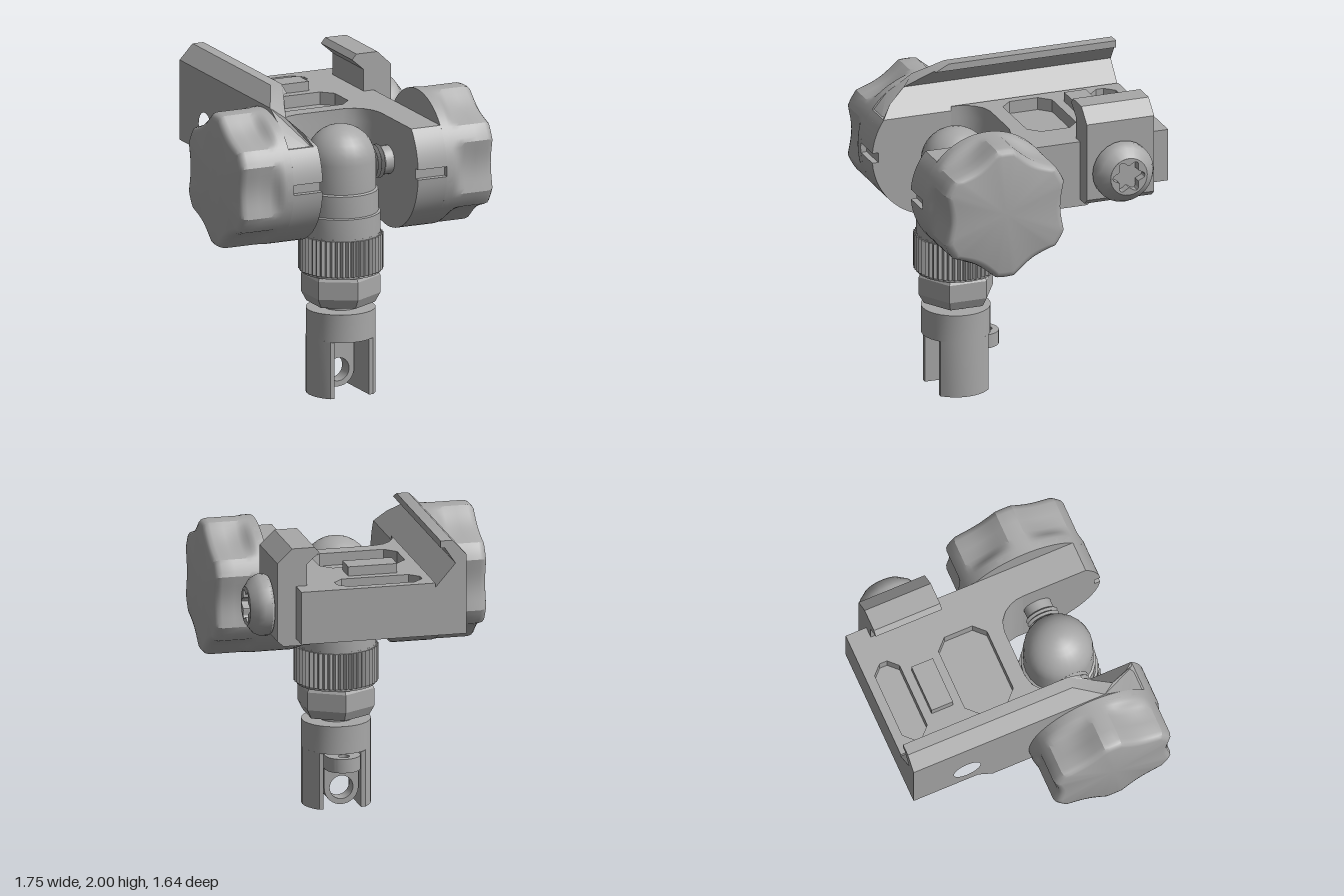
import * as THREE from 'three';
import { toCreasedNormals } from 'three/addons/utils/BufferGeometryUtils.js';

const CY = 1.455, CZ = 0.395, R = 0.43; // barrel axis and radius
const BACK = -0.82;
const metal = new THREE.MeshStandardMaterial({ color: 0xa8a8a8 });
metal.name = 'grey metal';

const shapeOf = pts => new THREE.Shape(pts.map(p => new THREE.Vector2(p[0], p[1])));
const hole = (x, y, r) => new THREE.Path().absarc(x, y, r, 0, Math.PI * 2, true);
const extrude = (shape, depth) => new THREE.ExtrudeGeometry(shape, { depth, bevelEnabled: false, curveSegments: 16 });
// shape drawn in (-z, y), swept along x
const alongX = (shape, x0, x1) => extrude(shape, x1 - x0).rotateY(Math.PI / 2).translate(x0, 0, 0);
// shape drawn in (x, -z), swept along y
const alongY = (shape, y0, y1) => extrude(shape, y1 - y0).rotateX(-Math.PI / 2).translate(0, y0, 0);
const lathe = (pts, seg) => new THREE.LatheGeometry(pts.map(p => new THREE.Vector2(p[0], p[1])), seg);

// side outline of an arm: flat tail running into the round barrel, with a key slot at the front
function armShape(top) {
  const pts = [[BACK, top], [BACK, 1.39], [-0.38, 1.39], [-0.28, 1.3]];
  const arc = (a0, a1, n) => {
    for (let i = 0; i <= n; i++) {
      const a = a0 + (a1 - a0) * i / n;
      pts.push([CZ + R * Math.cos(a), CY + R * Math.sin(a)]);
    }
  };
  arc(Math.PI + 0.369, Math.PI * 2 - 0.075, 28);
  pts.push([0.785, CY - 0.032], [0.785, CY + 0.032]);
  arc(0.075, Math.asin((top - CY) / R), 8);
  return shapeOf(pts.map(p => [-p[0], p[1]]));
}

// front edge of the web between the arms
const stations = [-0.33, -0.325, -0.31, -0.28, -0.23, -0.16, 0.16, 0.23, 0.28, 0.31, 0.325, 0.33];
const webFront = x => {
  const u = Math.min(1, Math.max(0, (Math.abs(x) - 0.16) / 0.17));
  return 0.1 + 0.2 * (1 - Math.sqrt(1 - u * u));
};

// web: side sections lofted across x
function webGeometry() {
  const pos = [], idx = [], zJ = -0.006, k = 8;
  let n = 0;
  stations.forEach(x => {
    const f = webFront(x), ring = [[BACK, 1.65], [f, 1.65]];
    for (let i = k; i >= 0; i--) {
      const z = zJ + (f - zJ) * i / k;
      ring.push([z, CY - Math.sqrt(R * R - (z - CZ) ** 2)]);
    }
    ring.push([-0.28, 1.3], [-0.38, 1.39], [BACK, 1.39]);
    n = ring.length;
    ring.forEach(p => pos.push(x, p[1], p[0]));
  });
  for (let s = 0; s < stations.length - 1; s++)
    for (let i = 0; i < n; i++) {
      const j = (i + 1) % n, a = s * n + i, b = s * n + j;
      idx.push(a, b, a + n, b, b + n, a + n);
    }
  const g = new THREE.BufferGeometry();
  g.setAttribute('position', new THREE.Float32BufferAttribute(pos, 3));
  g.setIndex(idx);
  return g;
}

// top plate with two eight-sided pockets
function plateGeometry() {
  const s = shapeOf([[-0.33, -BACK], ...stations.map(x => [x, -webFront(x)]), [0.33, -BACK]]);
  const pocket = (z0, z1, c) => {
    const x = 0.275;
    s.holes.push(new THREE.Path([[-x, c + z0], [-x + c, z0], [x - c, z0], [x, z0 + c],
      [x, z1 - c], [x - c, z1], [-x + c, z1], [-x, z1 - c], [-x, z0 + c]]
      .map((p, i) => new THREE.Vector2(p[0], -p[1])).slice(0, 8)));
  };
  pocket(-0.76, -0.59, 0.06);
  pocket(-0.33, 0, 0.07);
  return alongY(s, 1.65, 1.73);
}

// hooked rail: its front end follows a slope and then the barrel
function railGeometry() {
  const g = extrude(shapeOf([[-0.53, 1.65], [-0.33, 1.65], [-0.33, 1.7], [-0.395, 1.775], [-0.46, 1.85],
    [-0.39, 1.955], [-0.365, 1.955], [-0.365, 2], [-0.44, 2], [-0.53, 1.905], [-0.53, 1.8]]), 1);
  const p = g.attributes.position;
  for (let i = 0; i < p.count; i++) {
    const y = p.getY(i), slope = 0.3 + (2 - y) * 1.92, d = R * R - (y - CY) ** 2;
    p.setZ(i, p.getZ(i) < 0.5 ? BACK : d > 0 ? Math.min(slope, CZ + Math.sqrt(d)) : slope);
  }
  return g;
}

// scalloped hand knob, axis along y before turning
function knobGeometry() {
  const g = lathe([[R, 0.53], [R, 0.58], [R, 0.6], [R, 0.62], [R, 0.64], [R, 0.67], [R, 0.75], [R, 0.83],
    [0.422, 0.855], [0.405, 0.87], [0.385, 0.875], [0, 0.875]], 96);
  const p = g.attributes.position;
  for (let i = 0; i < p.count; i++) {
    const x = p.getX(i), z = p.getZ(i), r = Math.hypot(x, z);
    if (r < 0.3) continue;
    const step = Math.PI / 3, a = Math.atan2(x, z);
    const d = (a - Math.round(a / step) * step) / 0.39;
    const cut = 0.055 * Math.max(0, 1 - d * d) * THREE.MathUtils.smoothstep(p.getY(i), 0.58, 0.67);
    p.setX(i, x * (r - cut) / r);
    p.setZ(i, z * (r - cut) / r);
  }
  return g;
}

export function createModel() {
  const root = new THREE.Group();
  const add = (name, geo, crease = 0.55) => {
    const m = new THREE.Mesh(toCreasedNormals(geo, crease), metal);
    m.name = name;
    root.add(m);
    return m;
  };

  // clamp body
  add('web', webGeometry());
  add('topPlate', plateGeometry());
  add('crossKey', new THREE.BoxGeometry(0.315, 0.08, 0.145).translate(0, 1.75, -0.4625));
  add('rightArm', alongX(armShape(1.73), 0.33, 0.53));
  const left = armShape(1.7);
  left.holes.push(hole(0.455, 1.56, 0.09));
  add('leftArm', alongX(left, -0.53, -0.33));
  add('hookedRail', railGeometry());

  // sliding jaw and its screw
  add('jaw', extrude(shapeOf([[0.44, 1.345], [0.61, 1.345], [0.65, 1.38], [0.65, 1.885], [0.555, 1.975],
    [0.41, 1.975], [0.38, 1.94], [0.46, 1.87], [0.46, 1.73], [0.44, 1.72]]), 0.45).translate(0, 0, -0.68));
  const toScrew = g => g.translate(0, 1.56, -0.455);
  add('screwHead', toScrew(lathe([[0.15, 0.645], [0.185, 0.655], [0.195, 0.67], [0.195, 0.715],
    [0.175, 0.755], [0.12, 0.797]], 24).rotateZ(-Math.PI / 2)));
  const face = new THREE.Shape().absarc(0, 0, 0.122, 0, Math.PI * 2, false);
  const star = [];
  for (let i = 0; i < 48; i++) {
    const a = -i * Math.PI / 24, r = 0.09 + 0.018 * Math.cos(6 * a);
    star.push(new THREE.Vector2(r * Math.cos(a), r * Math.sin(a)));
  }
  face.holes.push(new THREE.Path(star));
  add('screwSocket', toScrew(alongX(face, 0.74, 0.797)));
  add('socketFloor', toScrew(new THREE.CylinderGeometry(0.12, 0.12, 0.09, 24).rotateZ(-Math.PI / 2).translate(0.695, 0, 0)));

  // knobs and threaded pivots, one per side
  for (const side of [1, -1]) {
    const label = side > 0 ? 'left' : 'right';
    const turn = g => g.rotateZ(-side * Math.PI / 2).translate(0, CY, CZ);
    add(label + 'Knob', turn(knobGeometry()));
    add(label + 'BarrelCap', turn(new THREE.CylinderGeometry(R, R, 0.04, 96).translate(0, 0.55, 0)));
    const thread = [];
    for (let i = 0; i < 5; i++) thread.push([0.085, 0.15 + i * 0.024], [0.107, 0.162 + i * 0.024]);
    add(label + 'Pivot', turn(lathe([...thread, [0.09, 0.27], [0.09, 0.335]], 24)));
  }

  // swivel post
  const post = g => g.translate(0, 0, CZ);
  const dome = [[0.25, 1.03], [0.25, 1.165], [0.235, 1.17], [0.235, 1.31], [0.22, 1.318]];
  for (let i = 0; i <= 8; i++) {
    const a = i * Math.PI / 16;
    dome.push([i === 8 ? 0 : 0.22 * Math.cos(a), 1.5 + 0.22 * Math.sin(a)]);
  }
  add('domedPost', post(lathe(dome, 24)));
  const teeth = [];
  for (let i = 0; i < 96; i++) {
    const a = i * Math.PI / 48, r = i % 2 ? 0.248 : 0.266;
    teeth.push([r * Math.cos(a), r * Math.sin(a)]);
  }
  add('knurledRing', post(alongY(shapeOf(teeth), 0.795, 1.025)), 0.2);
  add('ringCore', post(new THREE.CylinderGeometry(0.25, 0.25, 0.255, 32).translate(0, 0.908, 0)));
  add('hexNut', post(lathe([[0, 0.58], [0.215, 0.58], [0.248, 0.64], [0.248, 0.755], [0.235, 0.775], [0, 0.775]], 6)), 0.2);
  add('neck', post(new THREE.CylinderGeometry(0.105, 0.105, 0.3, 20).translate(0, 0.65, 0)));

  // fork with two flat-sided legs
  add('forkHead', post(new THREE.CylinderGeometry(0.218, 0.218, 0.18, 32).translate(0, 0.455, 0)));
  for (const side of [1, -1]) {
    const leg = [[0.12 * side, 0.16], [0.12 * side, -0.16]];
    for (let i = 0; i <= 8; i++) {
      const a = -0.824 + i * 0.206;
      leg.push([0.218 * Math.cos(a) * side, 0.218 * Math.sin(a)]);
    }
    add(side > 0 ? 'leftForkLeg' : 'rightForkLeg', post(alongY(shapeOf(leg), 0.0, 0.37)));
  }

  // eyelet with a rear tab
  const eye = new THREE.Shape();
  eye.moveTo(0.11, 0.345).lineTo(-0.11, 0.345).lineTo(-0.11, 0.13);
  eye.absarc(0, 0.13, 0.11, Math.PI, Math.PI * 2, false);
  eye.holes.push(hole(0, 0.13, 0.075));
  add('eyelet', extrude(eye, 0.1).translate(0, 0, 0.26));
  const tab = new THREE.Shape();
  tab.moveTo(-0.11, -0.36).lineTo(0.11, -0.36).lineTo(0.11, -0.225);
  tab.absarc(0, -0.225, 0.11, 0, Math.PI, false);
  tab.holes.push(hole(0, -0.19, 0.035));
  add('rearTab', alongY(tab, 0.26, 0.35));
  return root;
}
